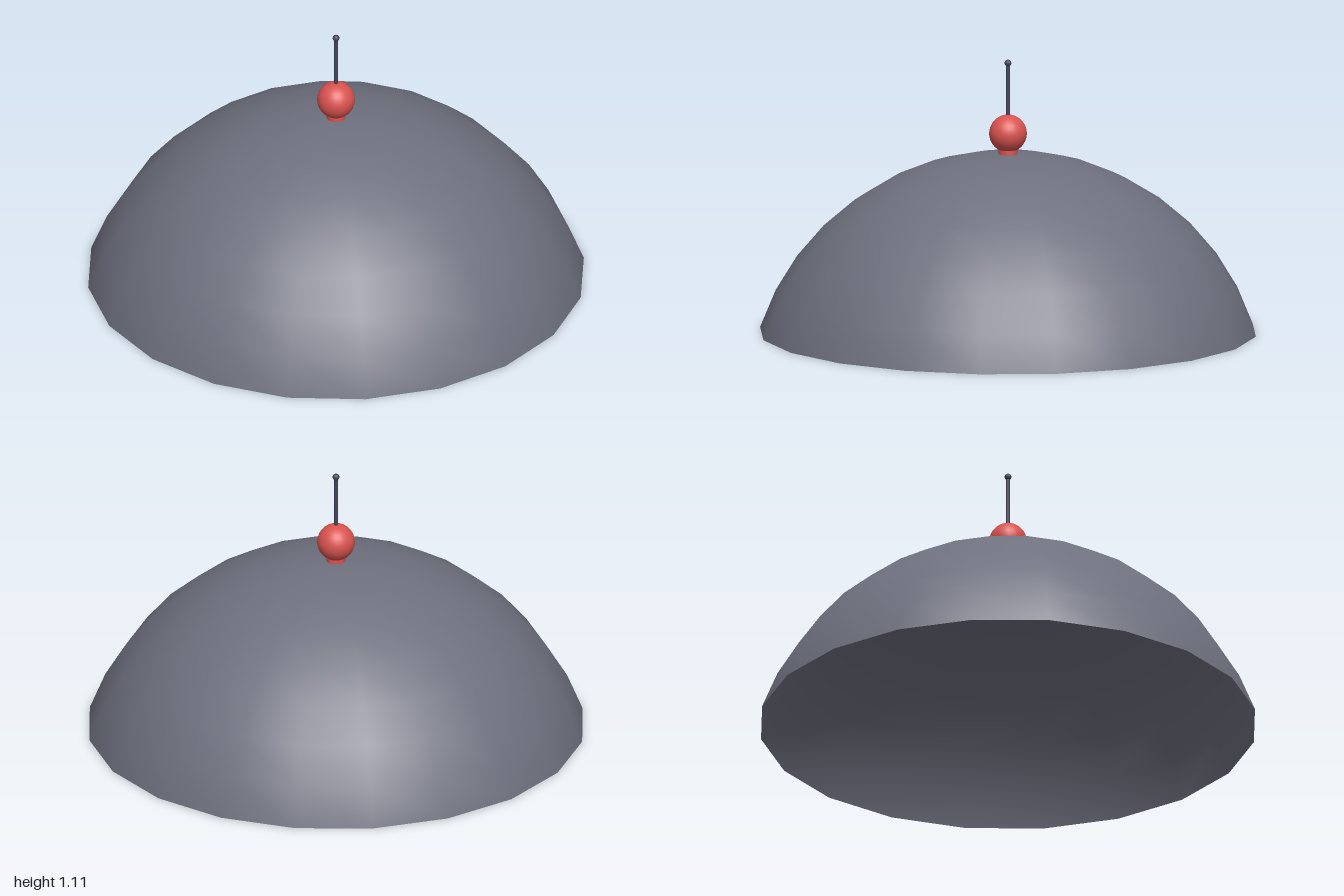
import * as THREE from 'three';

export function createModel() {
  const model = new THREE.Group();
  const slate = new THREE.MeshStandardMaterial({ color: 0x6e707e, side: THREE.DoubleSide });
  const red = new THREE.MeshStandardMaterial({ color: 0xd9534f });
  const dark = new THREE.MeshStandardMaterial({ color: 0x45475a });

  const add = (name, geometry, material, y) => {
    const mesh = new THREE.Mesh(geometry, material);
    mesh.name = name;
    mesh.position.y = y;
    model.add(mesh);
  };

  // Open spherical cap: rim radius 1 on the ground, open underneath
  const capAngle = Math.PI * 0.4;
  const radius = 1 / Math.sin(capAngle);
  const domeCentre = -radius * Math.cos(capAngle);
  const domeTop = domeCentre + radius;
  add('dome', new THREE.SphereGeometry(radius, 20, 8, 0, Math.PI * 2, 0, capAngle), slate, domeCentre);

  // Short collar and ball on the crown
  add('collar', new THREE.CylinderGeometry(0.038, 0.038, 0.04, 20), red, domeTop + 0.008);
  add('ball', new THREE.SphereGeometry(0.076, 24, 16), red, 0.807);

  // Thin rod with a small tip
  add('rod', new THREE.CylinderGeometry(0.0075, 0.0075, 0.25, 10), dark, 0.969);
  add('rodTip', new THREE.SphereGeometry(0.014, 12, 8), dark, 1.093);

  return model;
}
